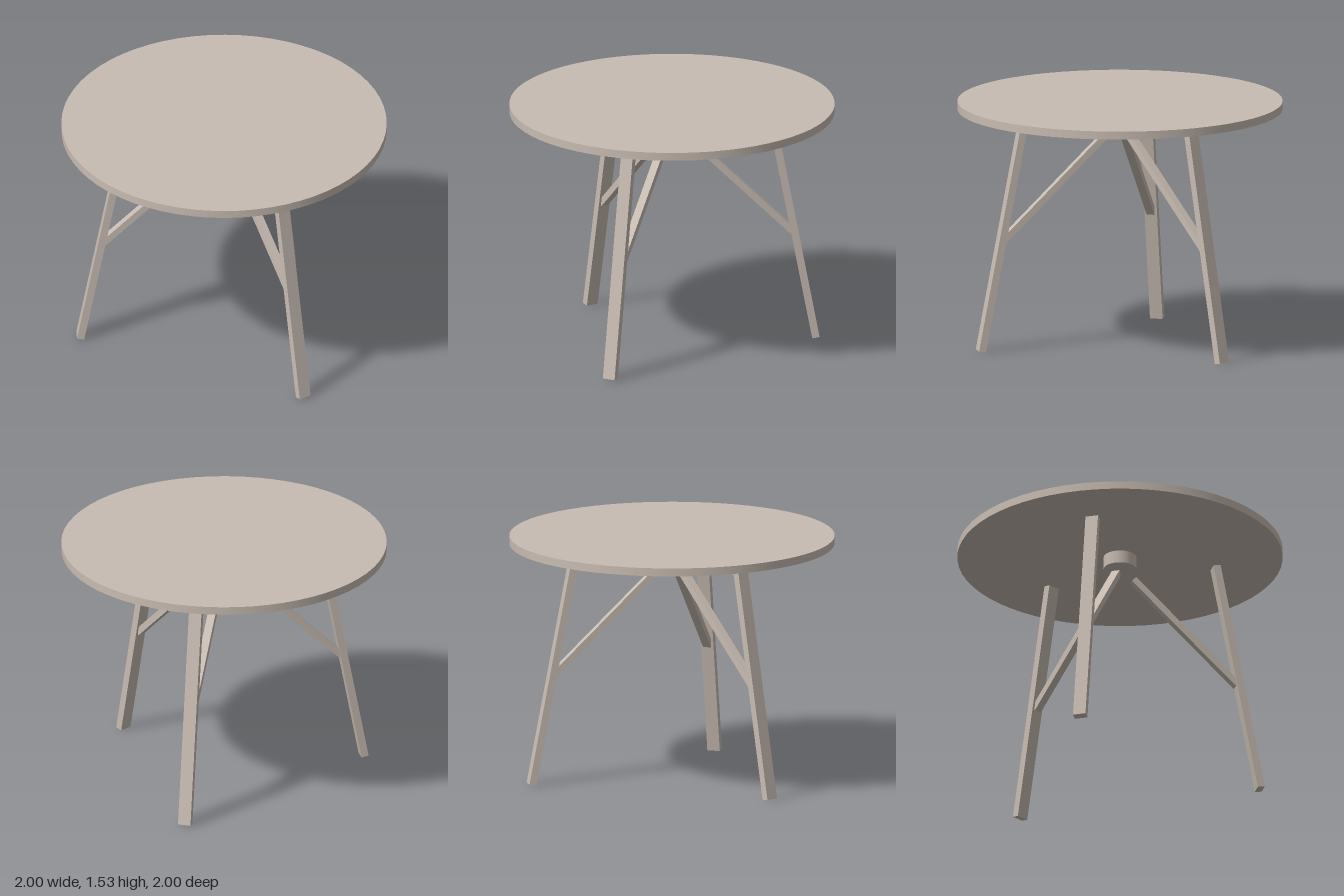
import * as THREE from 'three';

// Square-cut bar running between two points given as [radius, height]
function bar(name, width, depth, [r0, y0], [r1, y1], material) {
  const dr = r1 - r0, dy = y1 - y0;
  const mesh = new THREE.Mesh(new THREE.BoxGeometry(width, Math.hypot(dr, dy), depth), material);
  mesh.name = name;
  mesh.position.set(0, (y0 + y1) / 2, (r0 + r1) / 2);
  mesh.rotation.x = Math.atan2(dr, dy);
  return mesh;
}

function disc(name, radius, bottom, top, material) {
  const mesh = new THREE.Mesh(new THREE.CylinderGeometry(radius, radius, top - bottom, 64), material);
  mesh.name = name;
  mesh.position.y = (bottom + top) / 2;
  return mesh;
}

export function createModel() {
  const wood = new THREE.MeshStandardMaterial({ color: 0xc8bcb2 });
  wood.name = 'pale wood';

  const table = new THREE.Group();
  table.name = 'roundTable';
  table.add(disc('tableTop', 1, 1.48, 1.53, wood));
  table.add(disc('hub', 0.1, 1.4, 1.48, wood));

  // Three splayed legs, each with a brace rising towards the hub
  ['front', 'left', 'right'].forEach((side, i) => {
    const support = new THREE.Group();
    support.name = side + 'Support';
    support.add(bar(side + 'Leg', 0.08, 0.045, [0.885, 0.008], [0.605, 1.478], wood));
    support.add(bar(side + 'Brace', 0.05, 0.04, [0.74, 0.695], [0.083, 1.333], wood));
    support.rotation.y = i * Math.PI * 2 / 3;
    table.add(support);
  });
  return table;
}
